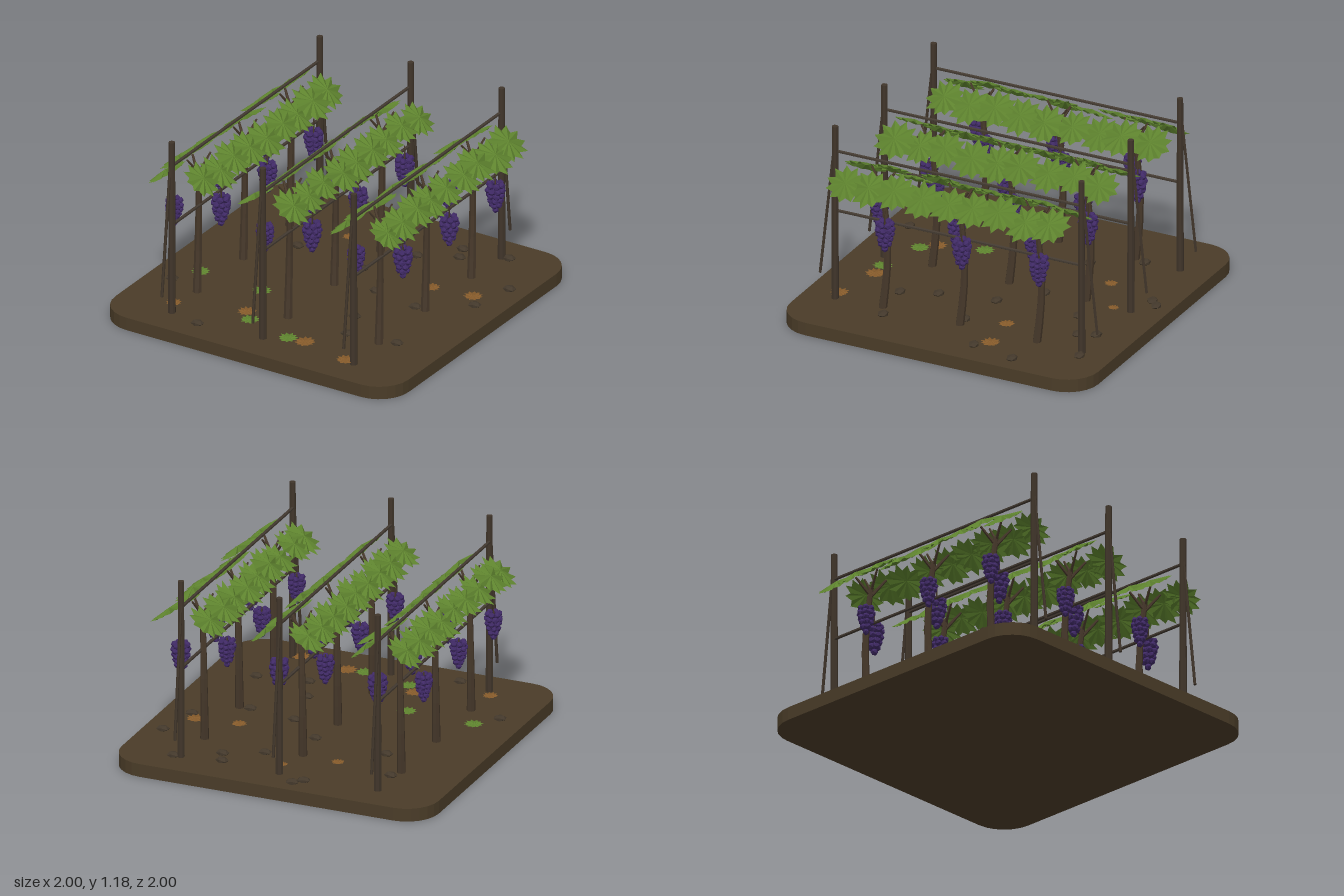
import * as THREE from 'three';
import { mergeGeometries } from 'three/addons/utils/BufferGeometryUtils.js';

const flat = (name, color, side = THREE.FrontSide) =>
  new THREE.MeshStandardMaterial({ name, color, side, flatShading: true });

export function createModel() {
  const root = new THREE.Group();
  root.name = 'vineyard';

  const soil = flat('soil brown', 0x4a3c28);
  const wood = flat('post wood', 0x40352a);
  const bark = flat('vine bark', 0x46382a);
  const wireMat = flat('wire', 0x423930);
  const green = flat('leaf green', 0x5e832e, THREE.DoubleSide);
  const autumn = flat('dry leaf', 0x855a2a, THREE.DoubleSide);
  const purple = flat('grape purple', 0x402a66);
  const stoneMat = flat('stone', 0x43382b);

  let seed = 7;
  const rand = () => (seed = (seed * 16807) % 2147483647) / 2147483647;
  const jit = (a) => (rand() * 2 - 1) * a;

  const add = (parent, name, geo, mat, x = 0, y = 0, z = 0) => {
    const m = new THREE.Mesh(geo, mat);
    m.name = name;
    m.position.set(x, y, z);
    parent.add(m);
    return m;
  };

  // Straight tapered rod between two points
  const rod = (parent, name, a, b, r0, r1, mat, sides = 6) => {
    const p = new THREE.Vector3(...a), q = new THREE.Vector3(...b);
    const d = q.clone().sub(p);
    const m = add(parent, name, new THREE.CylinderGeometry(r1, r0, d.length(), sides), mat);
    m.position.copy(p).add(q).multiplyScalar(0.5);
    m.quaternion.setFromUnitVectors(new THREE.Vector3(0, 1, 0), d.normalize());
    return m;
  };

  // Ground slab with rounded corners
  const s = new THREE.Shape();
  s.absarc(0.8, 0.8, 0.2, 0, Math.PI / 2);
  s.absarc(-0.8, 0.8, 0.2, Math.PI / 2, Math.PI);
  s.absarc(-0.8, -0.8, 0.2, Math.PI, Math.PI * 1.5);
  s.absarc(0.8, -0.8, 0.2, Math.PI * 1.5, Math.PI * 2);
  const slab = new THREE.ExtrudeGeometry(s, { depth: 0.08, bevelEnabled: false, curveSegments: 3 });
  slab.rotateX(-Math.PI / 2);
  add(root, 'ground', slab, soil);

  // Pleated star leaf of unit radius: ridges run to the tips
  const makeLeaf = () => {
    const n = 11, rim = [], pos = [];
    for (let i = 0; i < n * 2; i++) {
      const a = (i / (n * 2)) * Math.PI * 2;
      const tip = i % 2 === 0;
      const r = tip ? 0.9 + rand() * 0.12 : 0.7 + jit(0.04);
      rim.push([Math.cos(a) * r, tip ? -0.06 : -0.13, Math.sin(a) * r]);
    }
    rim.forEach((p, i) => pos.push(0, 0.08, 0, ...rim[(i + 1) % rim.length], ...p));
    const g = new THREE.BufferGeometry();
    g.setAttribute('position', new THREE.Float32BufferAttribute(pos, 3));
    g.computeVertexNormals();
    return g;
  };
  const leaves = [makeLeaf(), makeLeaf(), makeLeaf()];

  // Grape bunch hanging below its origin: rings of berries
  const berries = [];
  [[6, 0.034], [7, 0.038], [6, 0.034], [5, 0.027], [4, 0.019], [1, 0]].forEach(([n, r], row) => {
    for (let i = 0; i < n; i++) {
      const a = ((i + row * 0.5) / n) * Math.PI * 2;
      berries.push(new THREE.IcosahedronGeometry(0.02, 0)
        .rotateY(a * 2.3)
        .translate(Math.cos(a) * r, -0.02 - row * 0.029, Math.sin(a) * r));
    }
  });
  const bunch = mergeGeometries(berries);

  // Bent, tapering trunk
  const trunkGeo = new THREE.CylinderGeometry(0.016, 0.026, 0.8, 7, 6);
  const tp = trunkGeo.attributes.position;
  for (let i = 0; i < tp.count; i++) {
    const t = tp.getY(i) / 0.8 + 0.5, bow = Math.sin(Math.PI * t);
    tp.setX(i, tp.getX(i) - 0.012 * (1 - t) - 0.014 * bow);
    tp.setZ(i, tp.getZ(i) - 0.028 * bow);
  }

  const makeVine = (z) => {
    const vine = new THREE.Group();
    vine.name = 'vine';
    vine.position.z = z;
    add(vine, 'trunk', trunkGeo, bark, 0, 0.47, 0);
    for (const side of [-1, 1]) {
      // Forked branches
      rod(vine, 'branch', [0, 0.82, 0], [side * 0.075, 0.93, side * 0.05], 0.012, 0.007, bark, 5);
      rod(vine, 'branch', [0, 0.85, 0], [side * 0.03, 0.96, -side * 0.08], 0.01, 0.006, bark, 5);
      // Sloping canopy
      for (let i = -1; i <= 1; i++) {
        const leaf = add(vine, 'leaf', leaves[i + 1], green,
          side * 0.13 + 0.008 + jit(0.012), 0.915 + jit(0.014), i * 0.165 + jit(0.01));
        const size = 0.132 + jit(0.008);
        leaf.scale.set(size, size, size);
        leaf.rotation.set(jit(0.08), rand() * 6, 0);
        leaf.rotation.order = 'ZXY';
        leaf.rotation.z = -side * (0.62 + jit(0.07));
      }
      // Grapes and their stalks
      const big = side > 0 ? 1.1 : 1;
      const gx = side > 0 ? 0.105 : -0.12, gz = -side * 0.075;
      const y = 0.7 + jit(0.01);
      const g = add(vine, 'grapeBunch', bunch, purple, gx, y, gz);
      g.scale.setScalar(big);
      g.rotation.y = rand() * 6;
      rod(vine, 'grapeStalk', [gx, y - 0.03, gz], [gx, y + (side > 0 ? 0.065 : 0.005), gz],
        0.005, 0.004, bark, 5);
    }
    return vine;
  };

  // Trellis rows
  for (const x of [-0.62, 0, 0.62]) {
    const row = new THREE.Group();
    row.name = 'trellisRow';
    row.position.x = x;
    for (const e of [-1, 1]) {
      rod(row, 'post', [0.005, 0.08, e * 0.8], [0.005, 1.18, e * 0.8], 0.023, 0.019, wood, 8);
      rod(row, 'brace', [0, 0.22, e * 0.9], [0, 1.03, e * 0.81], 0.009, 0.009, wood);
    }
    for (const y of [0.64, 1.02])
      rod(row, 'wire', [0, y, -0.8], [0, y, 0.8], 0.01, 0.01, wireMat);
    for (const z of [-0.5, 0, 0.5]) row.add(makeVine(z));
    root.add(row);
  }

  // Scattered stones
  const stoneGeo = new THREE.IcosahedronGeometry(1, 0);
  const stones = [
    [-0.17, -0.85], [-0.12, -0.9], [0.38, -0.77], [0.67, -0.81], [0.88, -0.48], [0.31, 0.29],
    [-0.41, 0.85], [-0.84, 0.44], [0.39, 0.5], [0.42, -0.67], [0.02, -0.25], [0.24, -0.05],
    [0.54, 0], [0.82, -0.2], [-0.45, -0.3], [-0.6, -0.58], [0.2, -0.56], [0.7, 0.45],
  ];
  for (const [x, z] of stones) {
    const st = add(root, 'stone', stoneGeo, stoneMat, x, 0.088, z);
    st.scale.set(0.042, 0.02, 0.034);
    st.rotation.y = jit(0.4);
  }

  // Fallen leaves: x, z, radius
  const fallen = (mat, list) => list.forEach(([x, z, r], i) => {
    const l = add(root, 'fallenLeaf', leaves[i % 3], mat, x, 0.098, z);
    l.scale.set(r, r * 0.6, r);
    l.rotation.y = rand() * 6;
  });
  fallen(green, [[-0.31, 0.31, 0.062], [0.14, 0.74, 0.062], [-0.74, 0.29, 0.06], [-0.17, 0.66, 0.06]]);
  fallen(autumn, [[-0.25, -0.54, 0.042], [0.03, -0.7, 0.035], [-0.24, 0.58, 0.06], [0.25, 0.73, 0.065],
    [0.57, 0.8, 0.06], [-0.66, 0.71, 0.05], [0.76, -0.28, 0.06], [0.5, -0.25, 0.05]]);

  return root;
}
